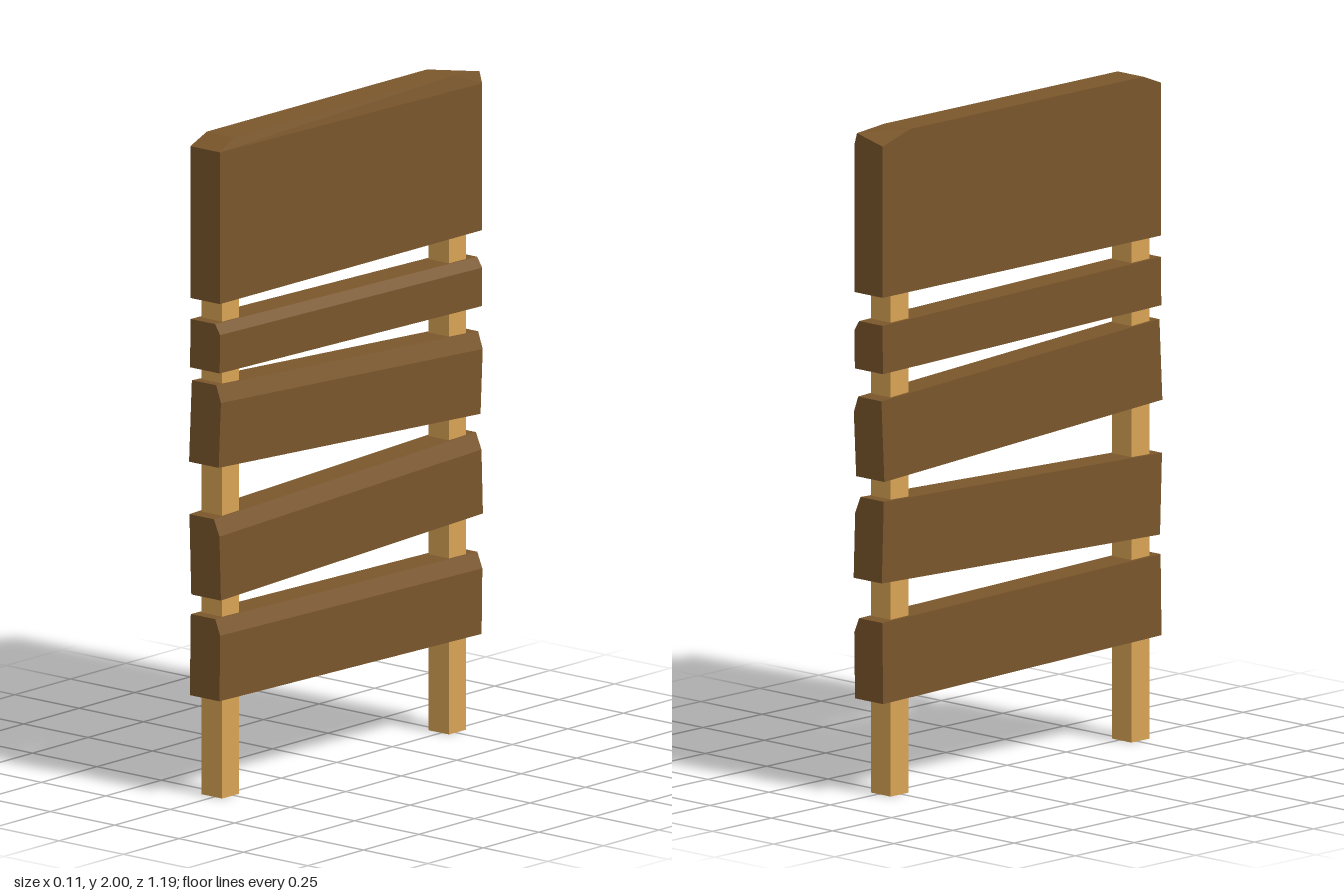
import * as THREE from 'three';
import { ConvexGeometry } from 'three/addons/geometries/ConvexGeometry.js';

const BACK = -0.06, FACE = 0.055, LENGTH = 1.18;

// Plank running along z, with its upper +x edge bevelled
function plankGeometry(height, bevel) {
  const h = height / 2;
  const section = new THREE.Shape([
    new THREE.Vector2(BACK, -h),
    new THREE.Vector2(FACE, -h),
    new THREE.Vector2(FACE, h - bevel),
    new THREE.Vector2(FACE - 0.02, h),
    new THREE.Vector2(BACK, h),
  ]);
  return new THREE.ExtrudeGeometry(section, { depth: LENGTH, bevelEnabled: false })
    .translate(0, 0, -LENGTH / 2);
}

// Tall top panel with worn, uneven upper corners
function panelGeometry() {
  const z = LENGTH / 2, bottom = 1.51;
  const corners = [
    [BACK, bottom, z], [FACE, bottom, z], [BACK, bottom, -z], [FACE, bottom, -z],
    [BACK, 1.97, z], [FACE, 1.97, z],
    [BACK, 2, 0.515], [0.045, 2, 0.515],
    [BACK, 2, -0.475], [0.045, 2, -0.475],
    [BACK, 1.965, -z], [0.045, 1.99, -z], [FACE, 1.955, -z],
  ];
  return new ConvexGeometry(corners.map((c) => new THREE.Vector3(...c)));
}

export function createModel() {
  const model = new THREE.Group();
  model.name = 'plankBarrier';
  const darkWood = new THREE.MeshStandardMaterial({ color: 0x7a562b, flatShading: true });
  const lightWood = new THREE.MeshStandardMaterial({ color: 0xd9a354, flatShading: true });

  const add = (name, geometry, material) => {
    const mesh = new THREE.Mesh(geometry, material);
    mesh.name = name;
    model.add(mesh);
    return mesh;
  };

  // Upright posts
  for (const [name, z] of [['frontPost', 0.513], ['backPost', -0.508]]) {
    add(name, new THREE.BoxGeometry(0.08, 1.75, 0.076), lightWood).position.set(-0.01, 0.875, z);
  }

  // Crooked planks: centre height, plank height, bevel drop, tilt
  const planks = [
    [0.419, 0.245, 0.047, -0.017],
    [0.753, 0.245, 0.05, 0.034],
    [1.107, 0.245, 0.05, -0.051],
    [1.363, 0.146, 0.03, -0.017],
  ];
  planks.forEach(([y, height, bevel, tilt], i) => {
    const plank = add(`plank${i + 1}`, plankGeometry(height, bevel), darkWood);
    plank.position.y = y;
    plank.rotation.x = tilt;
  });

  add('topPanel', panelGeometry(), darkWood);
  return model;
}
